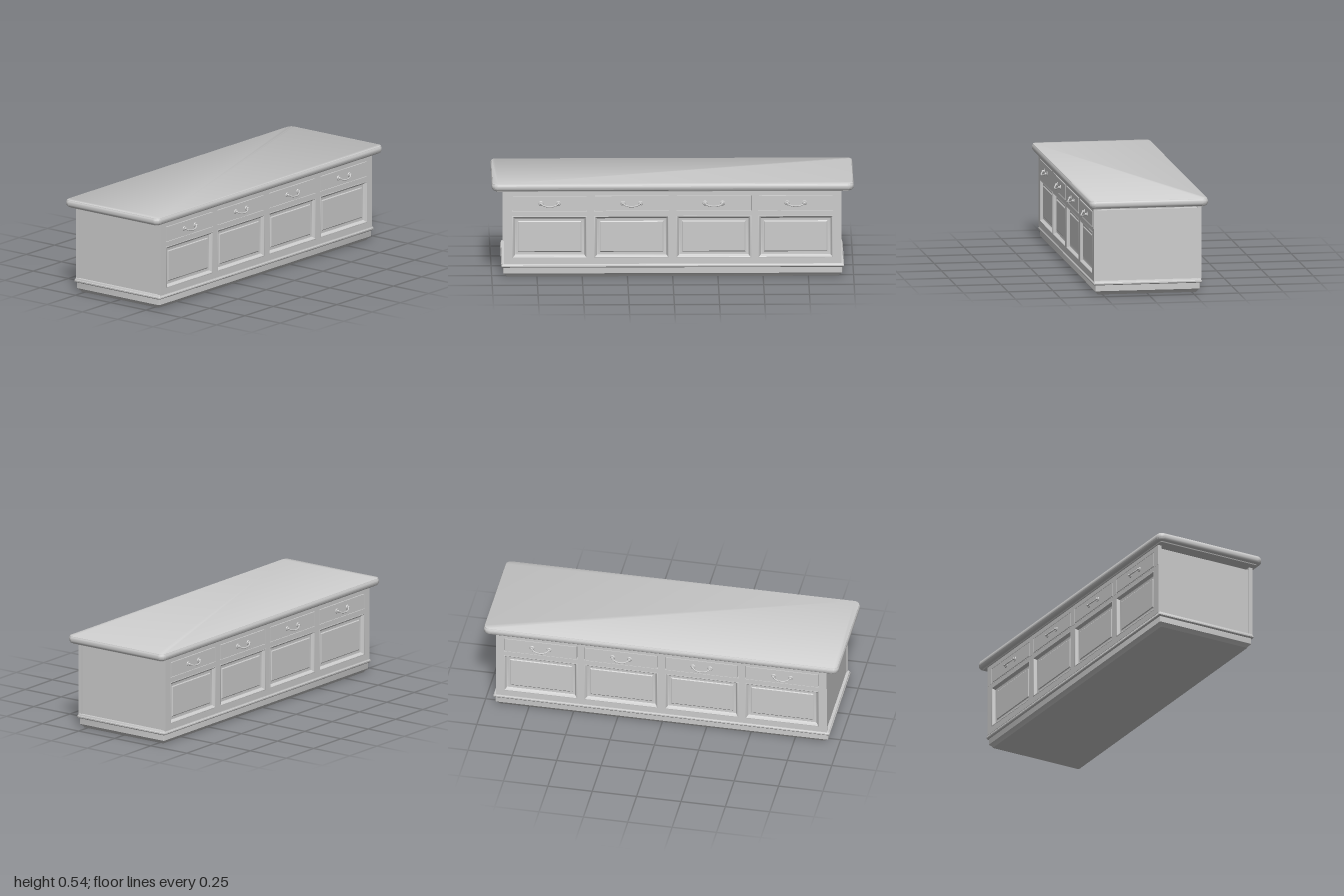
import * as THREE from 'three';
import { toCreasedNormals } from 'three/addons/utils/BufferGeometryUtils.js';

const paint = new THREE.MeshStandardMaterial({ color: 0xcccccc });
paint.name = 'light grey paint';

function add(parent, name, geometry, x = 0, y = 0, z = 0) {
  const mesh = new THREE.Mesh(geometry, paint);
  mesh.name = name;
  mesh.position.set(x, y, z);
  parent.add(mesh);
  return mesh;
}

// Rounded rectangles stacked along y; each ring is [half x, half z, y, corner radius]
function loft(rings, steps = 5) {
  const positions = [], index = [], n = 4 * (steps + 1);
  for (const [hx, hz, y, r] of rings) {
    for (let c = 0; c < 4; c++) {
      const sx = c === 0 || c === 3 ? 1 : -1, sz = c < 2 ? 1 : -1;
      for (let i = 0; i <= steps; i++) {
        const a = (c + i / steps) * Math.PI / 2;
        positions.push(sx * (hx - r) + r * Math.cos(a), y, sz * (hz - r) + r * Math.sin(a));
      }
    }
  }
  for (let k = 0; k < rings.length - 1; k++) {
    for (let i = 0; i < n; i++) {
      const a = k * n + i, b = k * n + (i + 1) % n;
      index.push(a, a + n, b, b, a + n, b + n);
    }
  }
  const last = (rings.length - 1) * n;
  for (let i = 1; i < n - 1; i++) {
    index.push(0, i, i + 1, last, last + i + 1, last + i);
  }
  const geometry = new THREE.BufferGeometry();
  geometry.setAttribute('position', new THREE.Float32BufferAttribute(positions, 3));
  geometry.setIndex(index);
  return toCreasedNormals(geometry, 0.6);
}

function rectangle(Type, x0, x1, y0, y1) {
  const path = new Type();
  path.moveTo(x0, y0);
  path.lineTo(x1, y0);
  path.lineTo(x1, y1);
  path.lineTo(x0, y1);
  path.closePath();
  return path;
}

const BAYS = [-0.68, -0.227, 0.227, 0.68];

// Long board with one opening for each bay
function faceFrame(y0, y1, hole0, hole1, depth) {
  const shape = rectangle(THREE.Shape, -0.932, 0.932, y0, y1);
  for (const z of BAYS) {
    shape.holes.push(rectangle(THREE.Path, z - 0.207, z + 0.207, hole0, hole1));
  }
  return new THREE.ExtrudeGeometry(shape, { depth, bevelEnabled: false }).rotateY(Math.PI / 2);
}

// Moulded frame stepping down to a raised centre panel
function doorGeometry() {
  const profile = [
    [0, -0.02], [0, 0.001], [0.004, 0.002], [0.007, 0], [0.009, -0.005],
    [0.016, -0.014], [0.02, -0.015], [0.031, -0.015], [0.036, -0.011], [0.04, -0.011],
  ];
  return loft(profile.map(([inset, y]) => [0.1185 - inset, 0.207 - inset, y, 0]), 1)
    .rotateZ(-Math.PI / 2);
}

// Drooping bail pull on two round posts
function handle() {
  const group = new THREE.Group();
  group.name = 'drawerHandle';
  for (const s of [-1, 1]) {
    const rose = new THREE.CylinderGeometry(0.011, 0.014, 0.004, 16).rotateZ(-Math.PI / 2);
    add(group, 'handleRose', rose, 0.002, 0, s * 0.048);
    const post = new THREE.CylinderGeometry(0.005, 0.006, 0.01, 12).rotateZ(-Math.PI / 2);
    add(group, 'handlePost', post, 0.006, 0, s * 0.048);
    add(group, 'handleKnuckle', new THREE.SphereGeometry(0.007, 12, 8), 0.009, 0, s * 0.048);
  }
  const curve = new THREE.CatmullRomCurve3([
    [0.009, 0, -0.048], [0.015, -0.006, -0.04], [0.022, -0.012, -0.022], [0.024, -0.014, 0],
    [0.022, -0.012, 0.022], [0.015, -0.006, 0.04], [0.009, 0, 0.048],
  ].map((p) => new THREE.Vector3(...p)));
  add(group, 'handleBail', new THREE.TubeGeometry(curve, 28, 0.004, 8));
  return group;
}

function cabinetSide() {
  const side = new THREE.Group();
  add(side, 'drawerFrame', faceFrame(0.37, 0.488, 0.374, 0.462, 0.021), 0.281);
  add(side, 'doorFrame', faceFrame(0.076, 0.37, 0.11, 0.347, 0.02), 0.281);
  const door = doorGeometry();
  for (const z of BAYS) {
    add(side, 'doorPanel', door, 0.301, 0.2285, z);
    add(side, 'drawerFront', new THREE.BoxGeometry(0.022, 0.082, 0.405), 0.292, 0.418, z);
    const pull = handle();
    pull.position.set(0.303, 0.419, z);
    side.add(pull);
  }
  return side;
}

export function createModel() {
  const model = new THREE.Group();
  model.name = 'kitchenIsland';

  // Plinth with a chamfered foot and a rounded moulding
  const plinth = [
    [0.276, 0], [0.28, 0.008], [0.293, 0.021], [0.293, 0.054], [0.299, 0.055],
    [0.303, 0.06], [0.303, 0.067], [0.3, 0.07], [0.298, 0.078],
  ];
  add(model, 'plinth', loft(plinth.map(([x, y]) => [x, x + 0.644, y, 0.006])));

  // Carcass stops short of the worktop
  add(model, 'carcass', new THREE.BoxGeometry(0.564, 0.396, 1.852), 0, 0.274, 0);

  // Drawers and doors on both long sides
  for (const [name, turn] of [['leftSide', 0], ['rightSide', Math.PI]]) {
    const side = cabinetSide();
    side.name = name;
    side.rotation.y = turn;
    model.add(side);
  }

  // Worktop with a stepped underside and rounded edge
  const worktop = [
    [0.302, 0.487], [0.309, 0.487], [0.311, 0.492], [0.32, 0.493], [0.326, 0.496],
    [0.331, 0.502], [0.333, 0.509], [0.333, 0.521], [0.331, 0.527], [0.329, 0.529],
    [0.328, 0.533], [0.325, 0.535],
  ];
  add(model, 'worktop', loft(worktop.map(([x, y]) => [x, x + 0.667, y, Math.max(0.006, x - 0.298)]), 8));
  return model;
}
